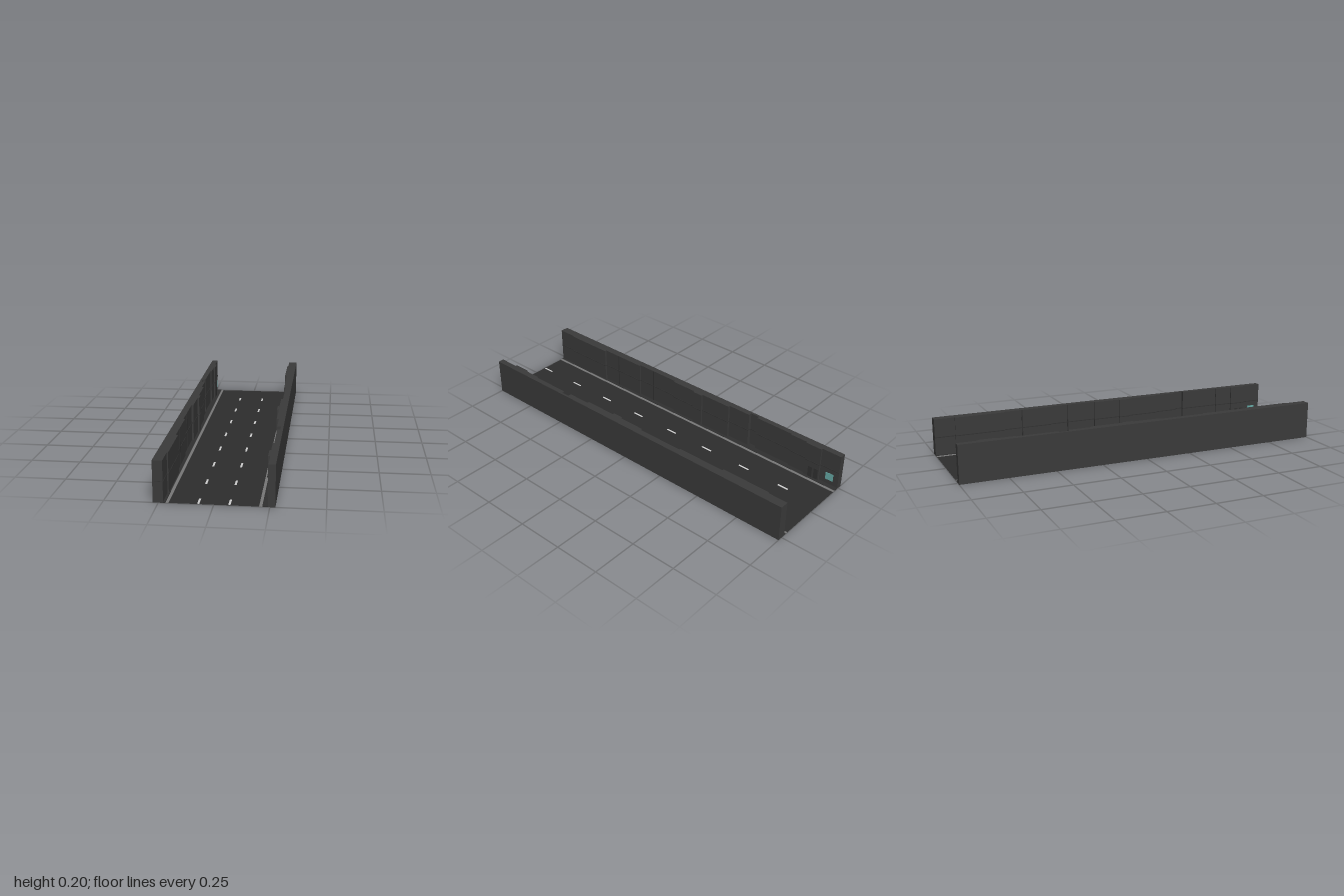
import * as THREE from 'three';

const mat = (color, side = THREE.FrontSide) =>
  new THREE.MeshStandardMaterial({ color, side, flatShading: true });

const WALL = mat(0x3a3a3a), TRIM = mat(0x303030), KERB = mat(0x777777);
const PAINT = mat(0xcccccc), PANEL = mat(0x66aaa5), ROAD = mat(0x2d2d2d, THREE.DoubleSide);

// Wall sections along z: [start z, inner face x]
const SECTIONS = [
  [-1, 0.228], [-0.89, 0.222], [-0.62, 0.233], [-0.35, 0.241], [-0.09, 0.231],
  [0.06, 0.222], [0.12, 0.232], [0.30, 0.243], [0.43, 0.262], [0.48, 0.247],
  [0.70, 0.24], [0.80, 0.232], [0.89, 0.242],
];
const OUTER = 0.275;

function box(name, material, x0, x1, y0, y1, z0, z1) {
  const mesh = new THREE.Mesh(new THREE.BoxGeometry(x1 - x0, y1 - y0, z1 - z0), material);
  mesh.position.set((x0 + x1) / 2, (y0 + y1) / 2, (z0 + z1) / 2);
  mesh.name = name;
  return mesh;
}

// Stepped plan outline, raised to a height
function steppedSlab(name, material, y0, height, proud, outer) {
  const pts = [new THREE.Vector2(outer, 1)];
  SECTIONS.forEach(([z, x], i) => {
    const end = i + 1 < SECTIONS.length ? SECTIONS[i + 1][0] : 1;
    pts.push(new THREE.Vector2(x - proud, -z), new THREE.Vector2(x - proud, -end));
  });
  pts.push(new THREE.Vector2(outer, -1));
  const geo = new THREE.ExtrudeGeometry(new THREE.Shape(pts), { depth: height, bevelEnabled: false });
  geo.rotateX(-Math.PI / 2).translate(0, y0, 0);
  const mesh = new THREE.Mesh(geo, material);
  mesh.name = name;
  return mesh;
}

function wallSide(name) {
  const side = new THREE.Group();
  side.name = name;
  side.add(
    steppedSlab('wall', WALL, 0, 0.2, 0, OUTER),
    steppedSlab('wallRail', TRIM, 0.0985, 0.004, 0.003, 0.27),
    box('wallFooting', TRIM, 0.217, OUTER - 0.001, 0.0003, 0.005, -0.9999, 0.9999),
    box('kerbStrip', KERB, 0.203, 0.217, 0, 0.003, -1, 1),
    box('litPanel', PANEL, 0.24, 0.244, 0.03, 0.072, 0.925, 0.97),
  );
  // Narrow door pair beside the lit panel
  for (const z of [0.825, 0.86]) side.add(box('door', TRIM, 0.23, 0.234, 0.005, 0.068, z, z + 0.024));
  // Upright joints on the longer sections
  for (const [z, x] of [[-0.517, 0.233], [-0.25, 0.241]])
    side.add(box('wallJoint', TRIM, x - 0.002, x + 0.002, 0.005, 0.199, z - 0.003, z + 0.003));
  return side;
}

export function createModel() {
  const model = new THREE.Group();
  model.name = 'walledRoad';

  // Thin road sheet
  const road = new THREE.Mesh(new THREE.PlaneGeometry(0.434, 2), ROAD);
  road.rotation.x = -Math.PI / 2;
  road.position.y = 0.001;
  road.name = 'roadSurface';
  model.add(road);

  // Two rows of lane dashes
  for (const x of [-0.07, 0.07])
    for (let i = 0; i < 8; i++) {
      const z = -0.785 + i * 0.25;
      model.add(box('laneDash', PAINT, x - 0.005, x + 0.005, 0, 0.002, z - 0.031, z + 0.031));
    }

  // The second side is the first turned half round
  const left = wallSide('leftWall');
  const right = wallSide('rightWall');
  right.rotation.y = Math.PI;
  model.add(left, right);
  return model;
}
